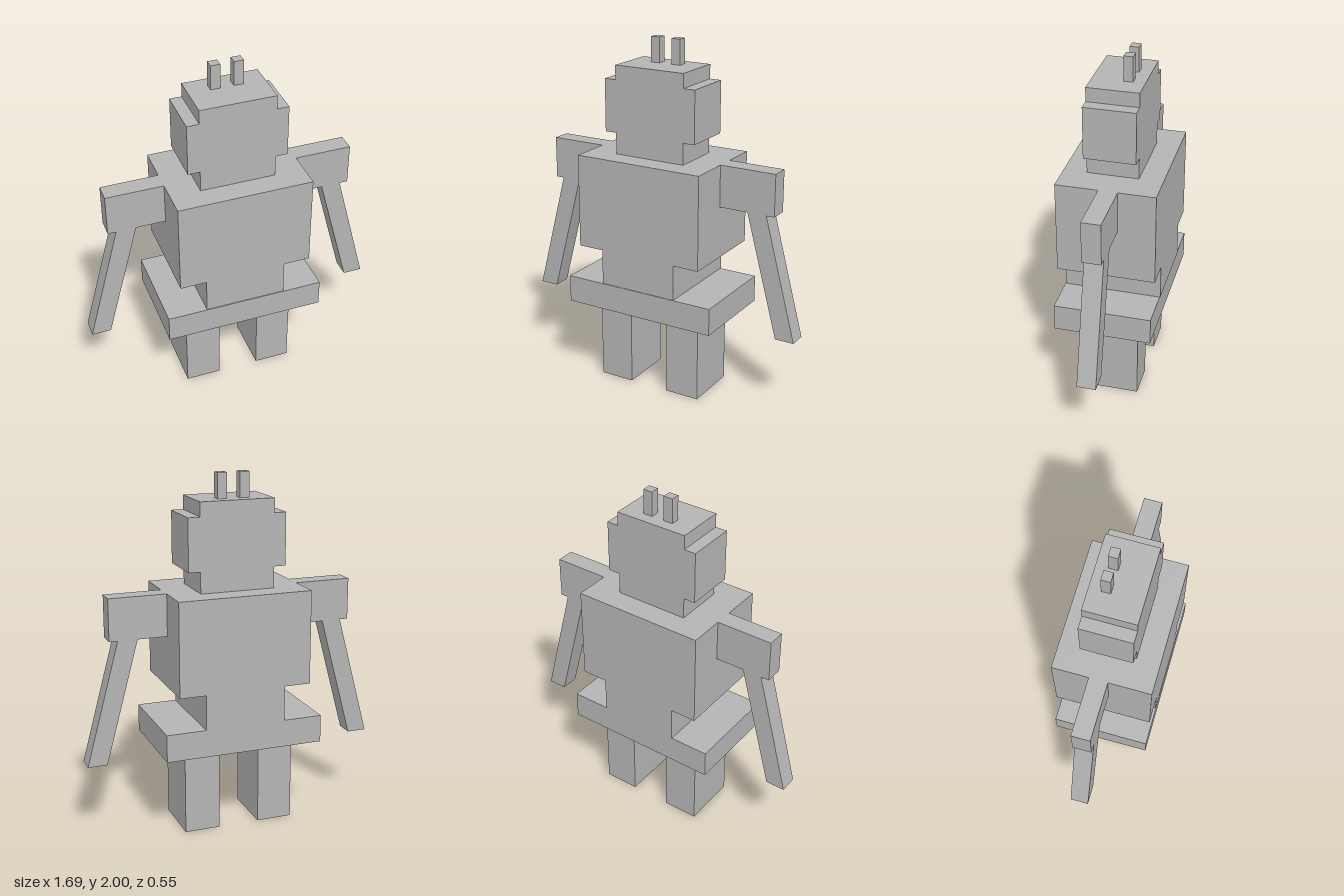
import * as THREE from 'three';

// Extrude an outline in the xy plane between two depths
function slab(name, points, z0, z1, material) {
  const shape = new THREE.Shape(points.map(([x, y]) => new THREE.Vector2(x, y)));
  const geometry = new THREE.ExtrudeGeometry(shape, { depth: z1 - z0, bevelEnabled: false });
  geometry.translate(0, 0, z0);
  const mesh = new THREE.Mesh(geometry, material);
  mesh.name = name;
  return mesh;
}

// Close a left-hand outline (listed bottom to top) with its mirror image
const mirrored = (half) => [...half, ...half.map(([x, y]) => [-x, y]).reverse()];

const rect = (x0, x1, y0, y1) => [[x0, y0], [x1, y0], [x1, y1], [x0, y1]];

export function createModel() {
  const group = new THREE.Group();
  group.name = 'blockRobot';
  const grey = new THREE.MeshStandardMaterial({ color: 0xb4b4b4, flatShading: true });
  grey.name = 'grey';

  // Torso with narrow waist, and the wide hip block
  group.add(slab('torso', mirrored([
    [0.23, 0.635], [0.23, 0.835], [0.38, 0.835], [0.38, 1.365],
  ]), -0.277, 0.27, grey));
  group.add(slab('hips', mirrored([[0.455, 0.48], [0.455, 0.635]]), -0.273, 0.274, grey));

  // Head with side blocks
  group.add(slab('head', mirrored([
    [0.212, 1.365], [0.212, 1.485], [0.28, 1.485],
    [0.28, 1.78], [0.212, 1.78], [0.212, 1.86],
  ]), -0.145, 0.141, grey));

  // Paired parts, outlines given for the left side
  const pairs = [
    ['Antenna', rect(0.037, 0.091, 1.86, 2), -0.08, -0.029],
    ['Shoulder', rect(0.38, 0.705, 1.128, 1.365), -0.072, 0.033],
    ['Arm', [[0.735, 0.43], [0.845, 0.43], [0.658, 1.128], [0.547, 1.128]], -0.072, 0.033],
    ['Leg', rect(0.117, 0.32, 0, 0.48), -0.17, 0.154],
  ];
  for (const [name, outline, z0, z1] of pairs) {
    group.add(slab('left' + name, outline, z0, z1, grey));
    group.add(slab('right' + name, outline.map(([x, y]) => [-x, y]).reverse(), z0, z1, grey));
  }
  return group;
}
